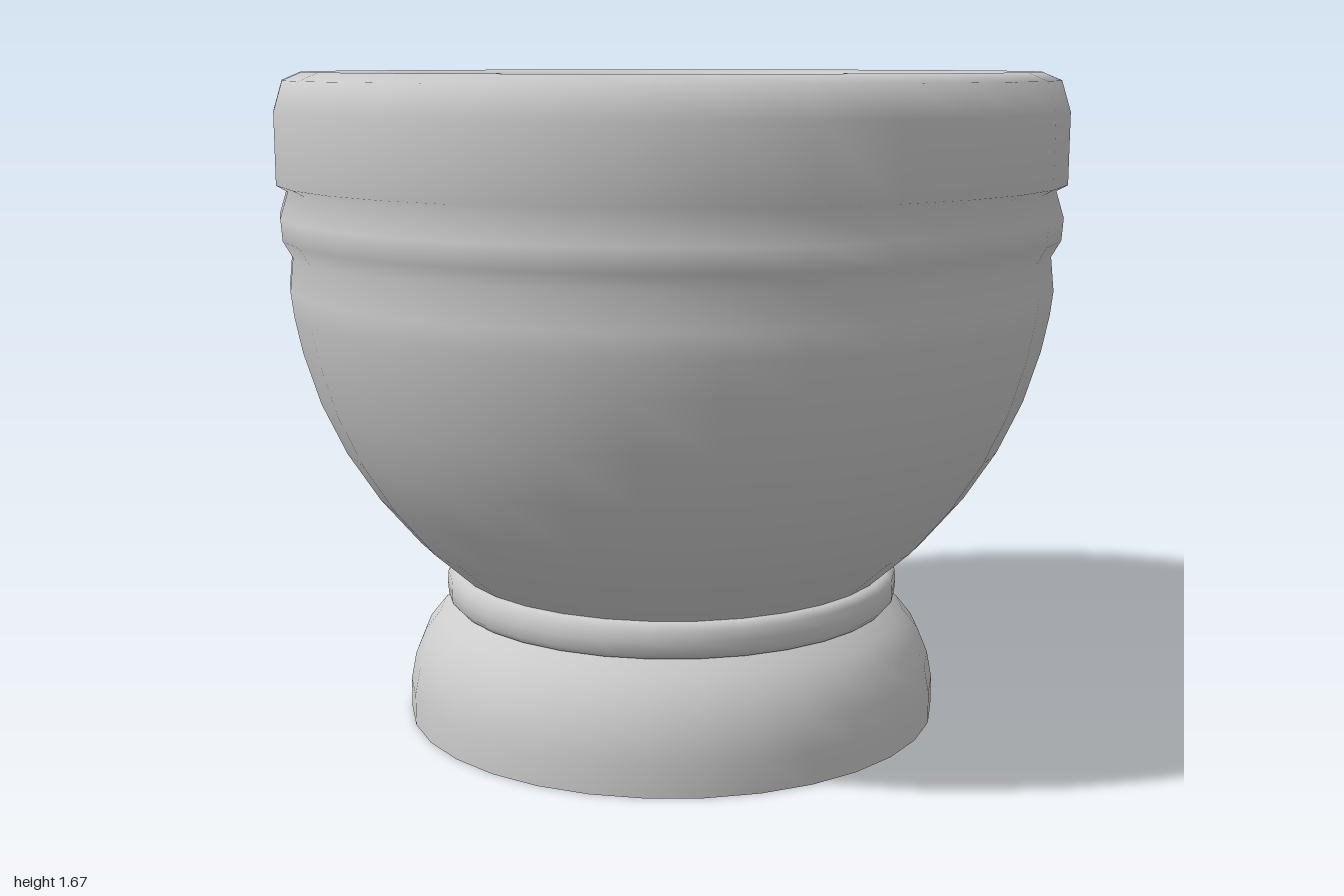
import * as THREE from 'three';

const SIDES = 32;

export function createModel() {
  const group = new THREE.Group();
  const material = new THREE.MeshStandardMaterial({ color: 0xcccccc, side: THREE.DoubleSide });

  // Turned part from [radius, height] pairs
  const turn = (name, profile) => {
    const points = profile.map(([r, y]) => new THREE.Vector2(r, y));
    const mesh = new THREE.Mesh(new THREE.LatheGeometry(points, SIDES), material);
    mesh.name = name;
    group.add(mesh);
  };

  // Hollow flared foot, open underneath
  turn('foot', [[0.695, 0], [0.695, 0.08], [0.682, 0.15], [0.655, 0.215], [0.615, 0.265], [0.57, 0.3]]);

  // Rounded collar between foot and bowl
  turn('collar', [[0.55, 0.3], [0.578, 0.301], [0.592, 0.317], [0.594, 0.345], [0.592, 0.373], [0.578, 0.389], [0.55, 0.391]]);

  // Bowl in one smooth sweep: outer wall, raised band, thick rim, rounded lip
  const bowl = [
    [0.565, 0.39], [0.67, 0.485], [0.77, 0.605], [0.85, 0.73], [0.91, 0.86],
    [0.95, 0.99], [0.968, 1.08], [0.975, 1.14], [0.966, 1.225],
    [0.989, 1.265], [0.993, 1.32], [0.973, 1.385],
    [1, 1.4], [1, 1.575], [0.977, 1.65], [0.93, 1.67], [0.892, 1.66], [0.88, 1.635],
  ];
  // Inside: straight throat, then an elliptical bottom
  bowl.push([0.893, 1.375]);
  const STEPS = 12;
  for (let i = 0; i < STEPS; i++) {
    const a = (i / STEPS) * Math.PI / 2;
    bowl.push([0.895 * Math.cos(a), 1.27 - 0.84 * Math.sin(a)]);
  }
  bowl.push([0, 0.43]);
  turn('bowl', bowl);

  return group;
}
